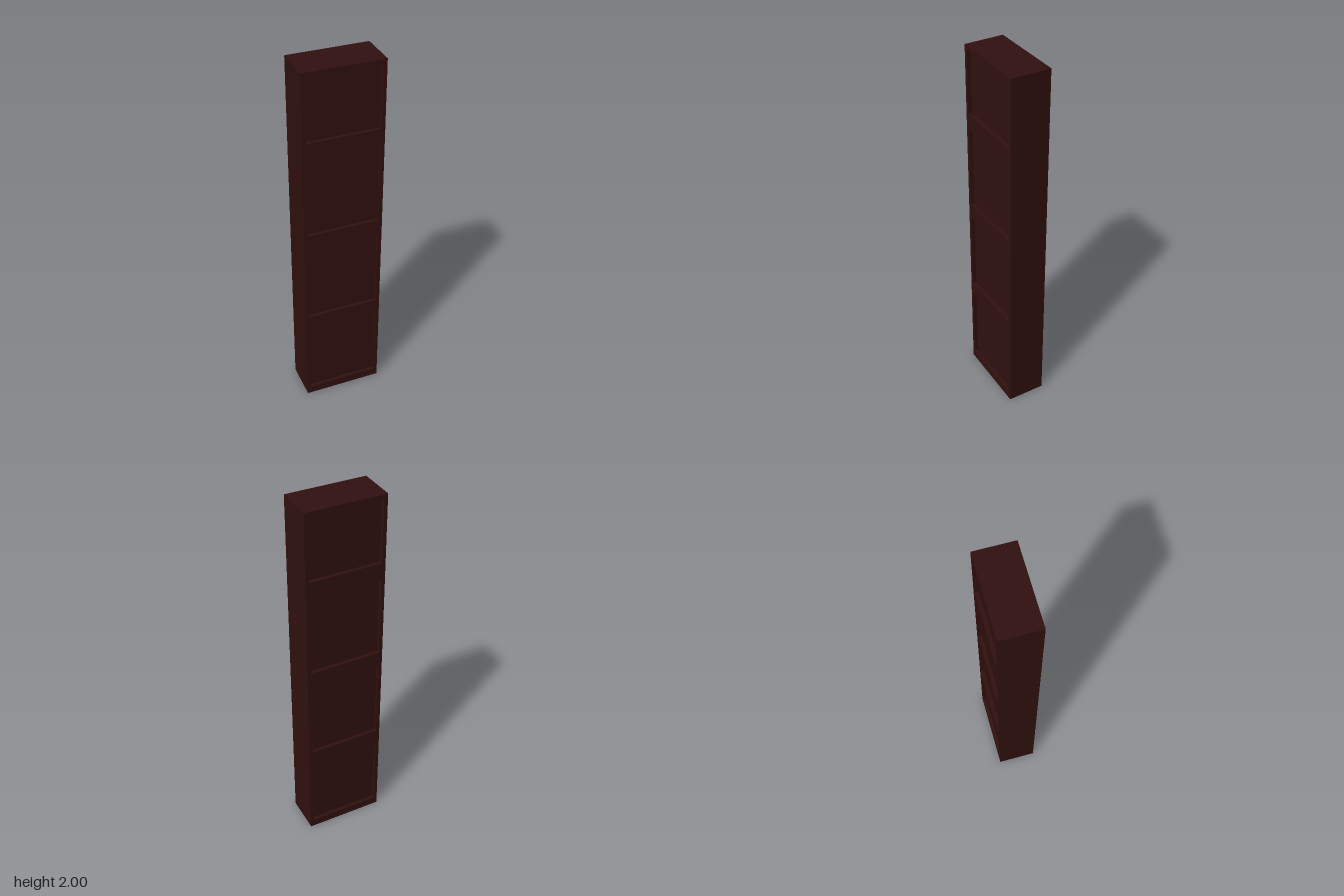
import * as THREE from 'three';

const W = 0.43, H = 2, D = 0.21; // overall size
const OPENING_X = 0.195;         // half width of the panel openings
const RECESS = 0.02;             // how far the panels sit back on both faces
const OPENINGS = [[0.045, 0.48], [0.565, 1.015], [1.1, 1.55], [1.635, 1.975]];

function rectangle(target, x, y0, y1) {
  target.moveTo(-x, y0);
  target.lineTo(x, y0);
  target.lineTo(x, y1);
  target.lineTo(-x, y1);
  target.closePath();
  return target;
}

export function createModel() {
  const group = new THREE.Group();
  group.name = 'panelledDoor';
  const wood = new THREE.MeshStandardMaterial({ color: 0x30100f });

  // Stiles and rails as one slab with four openings
  const outline = rectangle(new THREE.Shape(), W / 2, 0, H);
  for (const [y0, y1] of OPENINGS) {
    outline.holes.push(rectangle(new THREE.Path(), OPENING_X, y0, y1));
  }
  const frameGeometry = new THREE.ExtrudeGeometry(outline, { depth: D, bevelEnabled: false });
  frameGeometry.translate(0, 0, -D / 2);
  const frame = new THREE.Mesh(frameGeometry, wood);
  frame.name = 'frame';
  group.add(frame);

  // Flat panels, recessed on the front and back
  OPENINGS.forEach(([y0, y1], i) => {
    const panel = new THREE.Mesh(
      new THREE.BoxGeometry(OPENING_X * 2, y1 - y0, D - RECESS * 2), wood);
    panel.position.y = (y0 + y1) / 2;
    panel.name = `panel${i + 1}`;
    group.add(panel);
  });

  return group;
}
